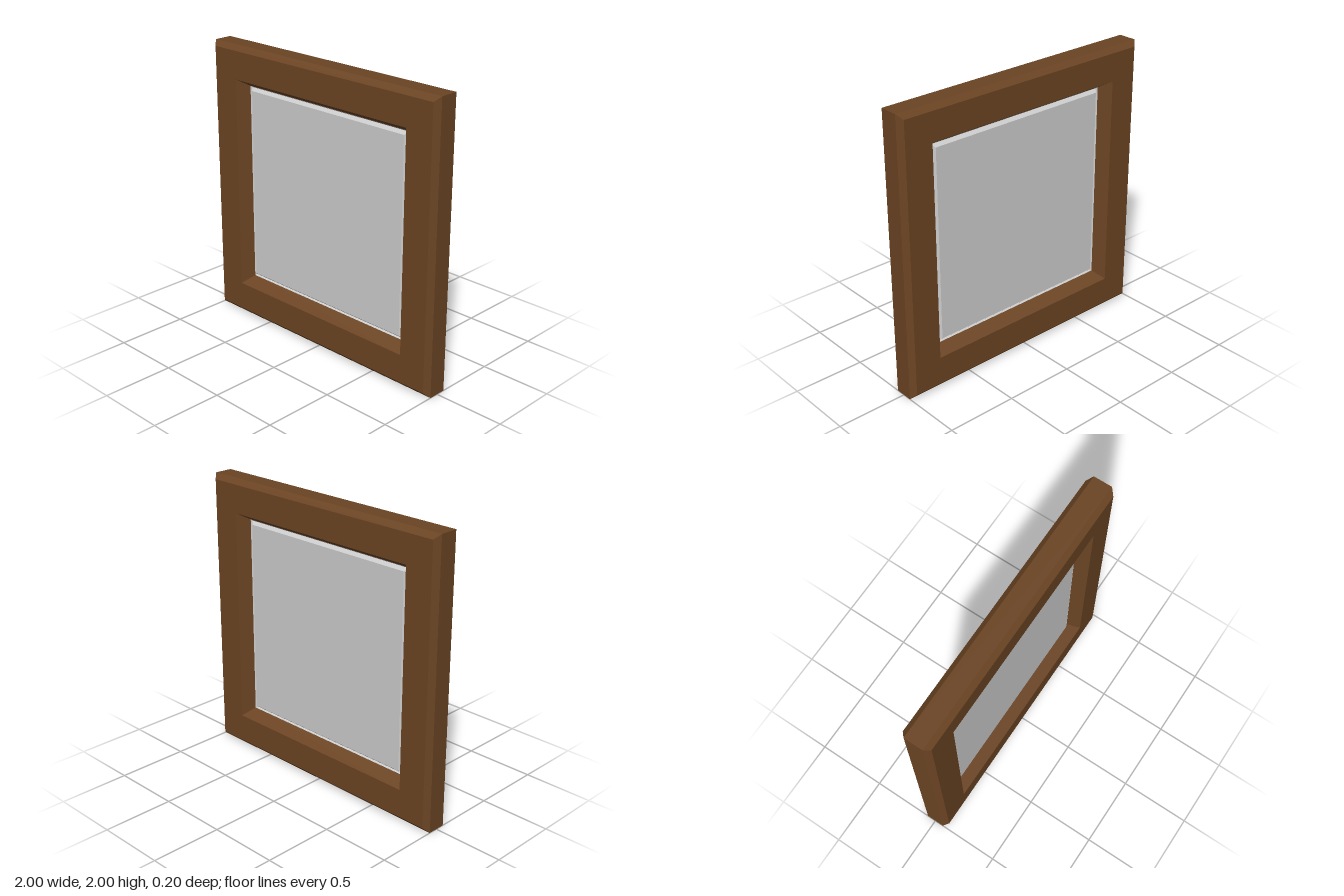
import * as THREE from 'three';

// Sweeps a profile of [half-width, z] points around a square, with sharp mitred corners
function squareSweep(name, profile, material) {
  const points = profile.map(([r, z]) => new THREE.Vector2(r * Math.SQRT2, z));
  const swept = new THREE.LatheGeometry(points, 4, Math.PI / 4);
  swept.rotateX(Math.PI / 2);
  const geometry = swept.toNonIndexed();
  geometry.computeVertexNormals();
  const mesh = new THREE.Mesh(geometry, material);
  mesh.name = name;
  mesh.position.y = 1;
  return mesh;
}

export function createModel() {
  const wood = new THREE.MeshStandardMaterial({ color: 0x6b4423, flatShading: true });
  const glass = new THREE.MeshStandardMaterial({ color: 0xcccccc, flatShading: true });
  const model = new THREE.Group();
  model.name = 'window';

  // Chamfered wooden frame, its opening narrowing towards the middle from both sides
  model.add(squareSweep('frame', [
    [0.765, -0.1], [0.965, -0.1], [1, -0.065], [1, 0.065], [0.965, 0.1],
    [0.765, 0.1], [0.714, 0.012], [0.714, -0.012], [0.765, -0.1],
  ], wood));

  // Thin lip seating the pane
  model.add(squareSweep('paneLip', [
    [0.714, 0.012], [0.704, 0], [0.714, -0.012],
  ], glass));

  // Pane with bevelled edges on both faces
  model.add(squareSweep('pane', [
    [0, -0.025], [0.685, -0.025], [0.706, 0], [0.685, 0.025], [0, 0.025],
  ], glass));

  return model;
}
